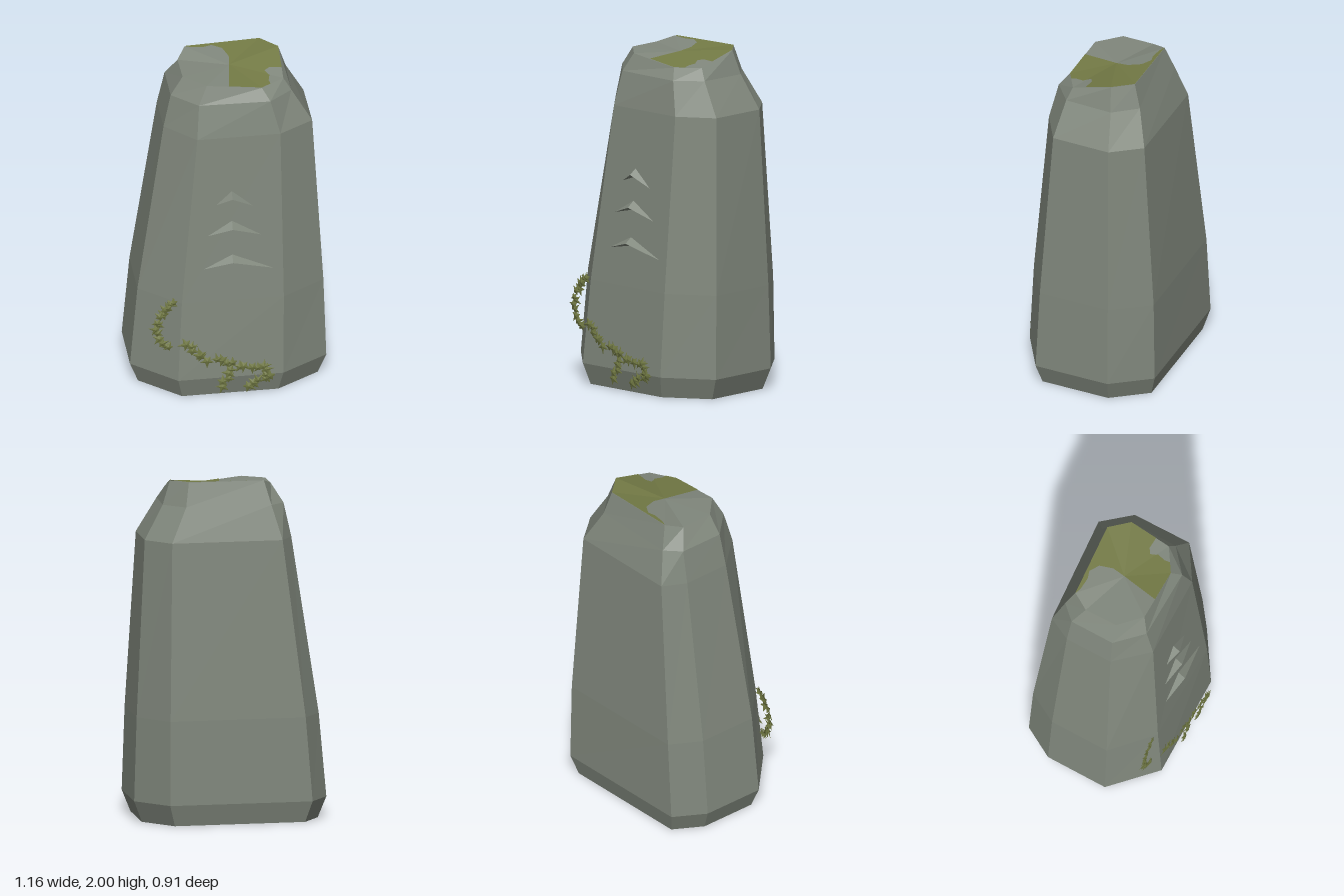
import * as THREE from 'three';
import { mergeGeometries } from 'three/addons/utils/BufferGeometryUtils.js';

const V = (x, y, z) => new THREE.Vector3(x, y, z);

// Flat-shaded geometry from triangles given as corner triples
function fromTriangles(points) {
  const g = new THREE.BufferGeometry().setFromPoints(points);
  g.computeVertexNormals();
  return g;
}

// Horizontal sections, corners listed from front-left round through +x
const ring = (y, xz) => xz.map(([x, z]) => V(x, y, z));
const widest = [[-0.31, 0.445], [0.31, 0.41], [0.58, 0.22], [0.555, -0.245],
  [0.365, -0.455], [-0.48, -0.355], [-0.58, -0.165], [-0.57, 0.215]];
const rim = [V(-0.12, 1.965, 0.215), V(0.205, 1.925, 0.2), V(0.34, 1.93, 0.105), V(0.335, 2, -0.145),
  V(0.235, 2, -0.25), V(-0.21, 2, -0.2), V(-0.26, 1.97, -0.1), V(-0.25, 1.97, 0.1)];
const rings = [
  ring(0, widest.map(([x, z]) => [x * 0.915, z * 0.915])),
  ring(0.125, widest),
  ring(0.62, [[-0.285, 0.405], [0.315, 0.38], [0.565, 0.2], [0.54, -0.24],
    [0.362, -0.447], [-0.44, -0.35], [-0.535, -0.165], [-0.525, 0.2]]),
  ring(1.66, [[-0.185, 0.313], [0.305, 0.285], [0.505, 0.145], [0.49, -0.215],
    [0.345, -0.375], [-0.31, -0.3], [-0.375, -0.16], [-0.365, 0.13]]),
  ring(1.86, [[-0.17, 0.26], [0.25, 0.25], [0.385, 0.125], [0.38, -0.17],
    [0.255, -0.295], [-0.25, -0.245], [-0.33, -0.155], [-0.322, 0.117]]),
  rim,
];
const apex = V(0.035, 1.968, -0.015);

function rockGeometry() {
  const p = [], n = rim.length, base = V(0, 0, 0);
  for (let i = 0; i < n; i++) {
    const j = (i + 1) % n;
    for (let k = 0; k < rings.length - 1; k++) {
      const a = rings[k], b = rings[k + 1];
      p.push(a[i], a[j], b[j], a[i], b[j], b[i]);
    }
    p.push(apex, rim[i], rim[j], base, rings[0][j], rings[0][i]);
  }
  return fromTriangles(p);
}

// Moss on the top: [position round the rim, inner fraction, outer fraction]
function mossGeometry() {
  const band = [[0.4, 0, 1], [1, 0, 1], [1.4, 0, 1], [1.54, 0, 0.89], [1.94, 0, 0.76], [2, 0, 0.71],
    [2.14, 0, 0.66], [2.3, 0, 0.76], [2.34, 0, 1], [3, 0, 1], [4, 0, 1], [4.38, 0, 1],
    [4.42, 0.36, 1], [4.53, 0.74, 1], [4.66, 0.92, 1], [4.79, 0.87, 1], [4.95, 0.92, 1], [5, 0.99, 1]];
  const at = (t, f) => {
    const i = Math.floor(t);
    const edge = rim[i % 8].clone().lerp(rim[(i + 1) % 8], t - i);
    const q = apex.clone().lerp(edge, f);
    q.y += 0.003;
    return q;
  };
  const p = [];
  for (let i = 0; i < band.length - 1; i++) {
    const [t0, a0, b0] = band[i], [t1, a1, b1] = band[i + 1];
    p.push(at(t0, a0), at(t0, b0), at(t1, b1));
    if (a0 || a1) p.push(at(t0, a0), at(t1, b1), at(t1, a1));
  }
  return fromTriangles(p);
}

// Raised chevron on the sloping front face
function chevronGeometry(topY, notchY, leftX, leftY, rightX, rightY) {
  const face = (x, y) => 0.392 - 0.09 * (y - 0.62) - 0.045 * x;
  const on = (x, y, out) => V(x, y, face(x, y) + out);
  const T = on(0.015, topY, -0.004), N = on(0.015, notchY, 0.042), B = on(0.015, notchY - 0.02, -0.008);
  const L = on(leftX, leftY, 0), R = on(rightX, rightY, 0);
  return fromTriangles([L, N, T, N, R, T, L, B, N, B, R, N]);
}

// Five-pointed ivy leaf with a raised middle
function leafGeometry() {
  const p = [], c = V(0, 0, 0.009), reach = [1, 0.85, 0.65, 0.65, 0.85];
  const tip = (i) => {
    const a = Math.PI / 2 + i * Math.PI / 5;
    const r = i % 2 ? 0.36 : reach[(i / 2) % 5];
    return V(Math.cos(a) * r, Math.sin(a) * r, i % 2 ? 0.002 : -0.003);
  };
  for (let i = 0; i < 10; i++) p.push(c, tip(i), tip(i + 1));
  return fromTriangles(p);
}

let seed = 7;
const rand = () => (seed = (seed * 16807) % 2147483647) / 2147483647;
const spread = (s) => (rand() - 0.5) * 2 * s;

// Leaves scattered along a path
function ivyGeometry(path, z, count) {
  const curve = new THREE.CatmullRomCurve3(path.map(([x, y]) => V(x, y, z)));
  const leaves = [];
  for (let i = 0; i < count; i++) {
    const q = curve.getPoint(i / (count - 1));
    const s = 0.043 + rand() * 0.012;
    leaves.push(leafGeometry().scale(s, s, 1)
      .rotateX(spread(0.08)).rotateY(spread(0.08)).rotateZ(rand() * Math.PI * 2)
      .translate(q.x + spread(0.014), q.y + spread(0.014), q.z + spread(0.004)));
  }
  return mergeGeometries(leaves);
}

export function createModel() {
  const group = new THREE.Group();
  const material = (name, color, side = THREE.FrontSide) => {
    const m = new THREE.MeshStandardMaterial({ color, side, flatShading: true });
    m.name = name;
    return m;
  };
  const stone = material('stone', 0x80877c);
  const moss = material('moss', 0x737a45, THREE.DoubleSide);
  const leaf = material('ivyLeaf', 0x6f7742, THREE.DoubleSide);
  const add = (name, geometry, mat) => {
    const mesh = new THREE.Mesh(geometry, mat);
    mesh.name = name;
    group.add(mesh);
  };

  add('standingStone', rockGeometry(), stone);
  add('topMoss', mossGeometry(), moss);

  // Three chevrons, growing wider downwards
  [[1.32, 1.283, -0.083, 1.23, 0.14, 1.213],
    [1.13, 1.09, -0.132, 1.038, 0.19, 1.025],
    [0.915, 0.878, -0.155, 0.828, 0.267, 0.805]].forEach((c, i) => add('chevron' + (i + 1), chevronGeometry(...c), stone));

  // Ivy strands climbing the lower front
  add('cornerIvy', ivyGeometry([[-0.34, 0.62], [-0.39, 0.57], [-0.43, 0.49], [-0.425, 0.4], [-0.375, 0.32]], 0.395, 14), leaf);
  add('frontIvy', ivyGeometry([[-0.25, 0.37], [-0.2, 0.3], [-0.1, 0.25], [0, 0.22], [0.1, 0.2],
    [0.19, 0.18], [0.22, 0.13], [0.16, 0.1], [0.1, 0.07]], 0.44, 24), leaf);
  add('hangingIvy', ivyGeometry([[-0.01, 0.18], [-0.02, 0.12], [-0.06, 0.07]], 0.44, 5), leaf);
  return group;
}
